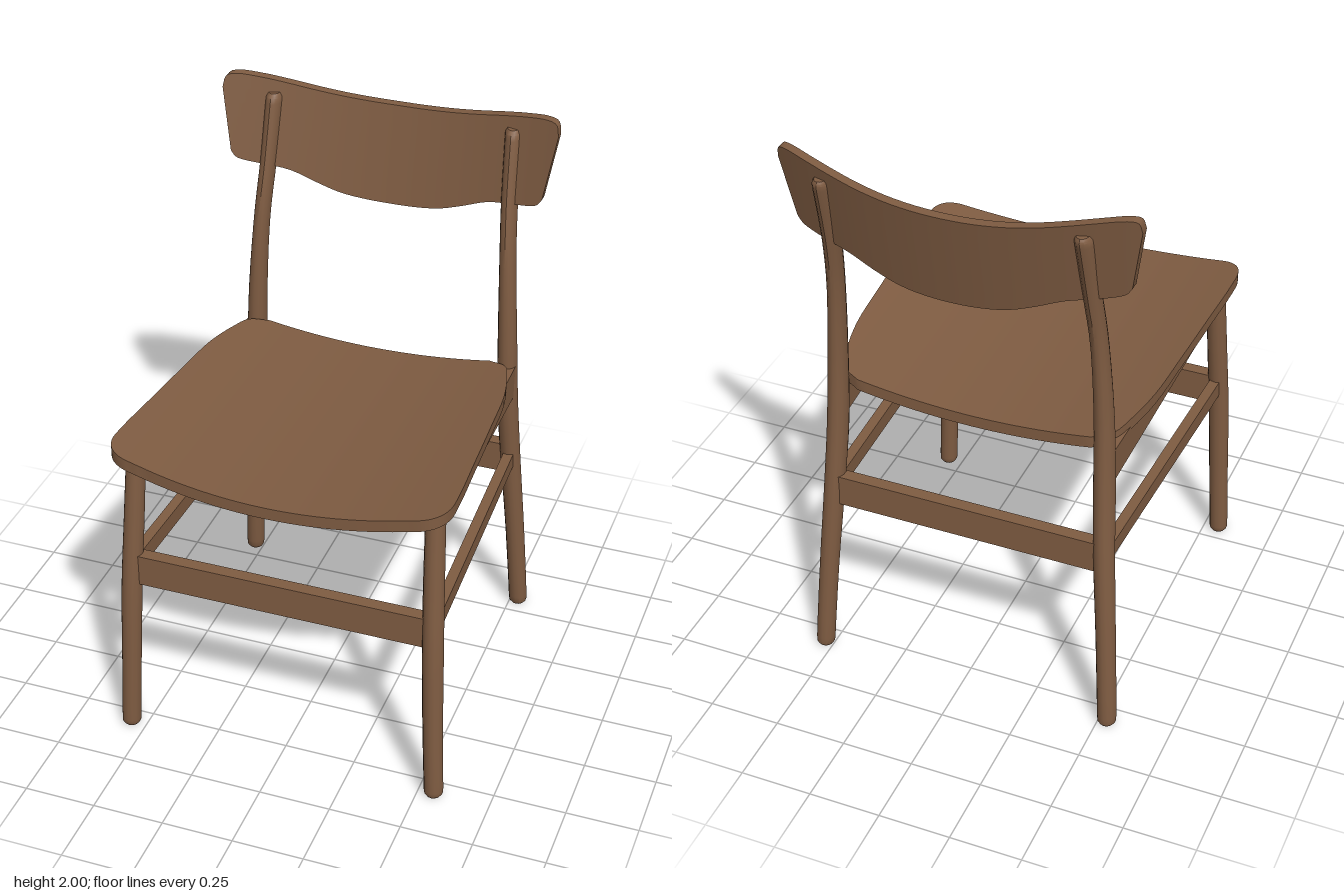
import * as THREE from 'three';
import { toCreasedNormals } from 'three/addons/utils/BufferGeometryUtils.js';

const wood = new THREE.MeshStandardMaterial({ color: 0x7f5c42 });
wood.name = 'brown wood';

const { lerp } = THREE.MathUtils;
const curve = (rows) => new THREE.CatmullRomCurve3(rows.map((r) => new THREE.Vector3(...r)));

function part(name, geometry, crease = 0.6) {
  const mesh = new THREE.Mesh(toCreasedNormals(geometry, crease), wood);
  mesh.name = name;
  return mesh;
}

// Closed curved panel: f(a, b, s) gives a point, s = 1 on the outer face, 0 on the inner
function slab(nu, nv, f) {
  const pos = [];
  const p = (i, j, s) => f(i / nu, j / nv, s);
  const quad = (a, b, c, d) => pos.push(...a, ...b, ...d, ...b, ...c, ...d);
  for (let i = 0; i < nu; i++) {
    for (let j = 0; j < nv; j++) {
      quad(p(i, j, 1), p(i + 1, j, 1), p(i + 1, j + 1, 1), p(i, j + 1, 1));
      quad(p(i, j, 0), p(i, j + 1, 0), p(i + 1, j + 1, 0), p(i + 1, j, 0));
    }
  }
  const edge = (i, j, k, l) => quad(p(i, j, 0), p(k, l, 0), p(k, l, 1), p(i, j, 1));
  for (let i = 0; i < nu; i++) {
    edge(i, 0, i + 1, 0);
    edge(i + 1, nv, i, nv);
  }
  for (let j = 0; j < nv; j++) {
    edge(nu, j, nu, j + 1);
    edge(0, j + 1, 0, j);
  }
  const g = new THREE.BufferGeometry();
  g.setAttribute('position', new THREE.Float32BufferAttribute(pos, 3));
  return g;
}

// Round leg following rows of [x, y, z, radius in x, radius in z]
function leg(rows, side) {
  const path = curve(rows.map(([x, y, z]) => [x * side, y, z]));
  const size = curve(rows.map((r) => [r[3], r[4], 0]));
  const g = new THREE.CylinderGeometry(1, 1, 1, 14, 32);
  const a = g.attributes.position;
  for (let i = 0; i < a.count; i++) {
    const t = THREE.MathUtils.clamp(a.getY(i) + 0.5, 0, 1);
    const c = path.getPoint(t), r = size.getPoint(t);
    a.setXYZ(i, c.x + a.getX(i) * r.x, c.y, c.z + a.getZ(i) * r.y);
  }
  return g;
}

// Side bar from back to front; each end is [x, bottom y, top y, z]
function sideBar(back, front, width, side) {
  const g = new THREE.BoxGeometry(width, 1, 1);
  const a = g.attributes.position;
  for (let i = 0; i < a.count; i++) {
    const t = a.getZ(i) + 0.5;
    const [x, y0, y1, z] = back.map((v, k) => lerp(v, front[k], t));
    a.setXYZ(i, a.getX(i) + x * side, lerp(y0, y1, a.getY(i) + 0.5), z);
  }
  return g;
}

export function createModel() {
  const chair = new THREE.Group();
  chair.name = 'chair';

  // Dished seat: rows of [z, half width] from front to back
  const seatRows = curve([
    [0.645, 0.45, 0], [0.633, 0.52, 0], [0.605, 0.557, 0], [0.56, 0.576, 0], [0.48, 0.578, 0],
    [0.25, 0.565, 0], [0, 0.55, 0], [-0.2, 0.535, 0], [-0.34, 0.505, 0], [-0.42, 0.475, 0], [-0.455, 0.41, 0],
  ]);
  chair.add(part('seat', slab(24, 40, (a, b, s) => {
    const u = a * 2 - 1, r = seatRows.getPoint(b);
    const x = u * r.y;
    const z = r.x - 0.03 * u * u * Math.max(0, r.x / 0.645);
    const y = 1.065 + 0.035 * (z + 0.45) + 0.065 * (x / 0.57) ** 2;
    return [x, y - (1 - s) * 0.042, z];
  })));

  // Curved backrest: columns of [position across, bottom y, top y]
  const half = [
    [0.17, 1.593, 1.932], [0.34, 1.606, 1.94], [0.5, 1.636, 1.954], [0.65, 1.67, 1.972],
    [0.8, 1.687, 1.99], [0.92, 1.7, 2.0], [0.975, 1.712, 1.992], [1, 1.735, 1.955],
  ];
  const columns = curve([
    ...half.map(([u, lo, hi]) => [-u, lo, hi]).reverse(), [0, 1.59, 1.93], ...half,
  ]);
  chair.add(part('backrest', slab(48, 6, (a, b, s) => {
    const c = columns.getPoint(a);
    const y = lerp(c.y, c.z, b);
    const x = c.x * lerp(0.55, 0.6, (y - 1.7) / 0.3);
    const z = -0.61 + 0.33 * x * x - 0.2 * (y - 1.76);
    return [x, y, z + (s - 0.5) * 0.034];
  })));

  for (const [side, word] of [[1, 'left'], [-1, 'right']]) {
    chair.add(part(word + 'FrontLeg', leg([
      [0.555, 0, 0.56, 0.024, 0.024], [0.555, 0.015, 0.56, 0.033, 0.033],
      [0.545, 0.25, 0.555, 0.034, 0.034], [0.532, 0.6, 0.54, 0.036, 0.036],
      [0.522, 0.85, 0.516, 0.035, 0.036], [0.513, 1.115, 0.488, 0.033, 0.034],
    ], side)));

    // Back leg rises through the backrest
    chair.add(part(word + 'BackLeg', leg([
      [0.53, 0, -0.567, 0.024, 0.024], [0.53, 0.015, -0.566, 0.033, 0.033],
      [0.51, 0.35, -0.542, 0.034, 0.036], [0.485, 0.7, -0.512, 0.036, 0.04],
      [0.472, 0.95, -0.487, 0.036, 0.044], [0.463, 1.2, -0.48, 0.033, 0.04],
      [0.447, 1.5, -0.495, 0.028, 0.038], [0.434, 1.7, -0.532, 0.028, 0.04],
      [0.426, 1.92, -0.583, 0.03, 0.045], [0.425, 1.938, -0.587, 0.022, 0.036],
    ], side)));

    chair.add(part(word + 'SeatRail', sideBar(
      [0.475, 0.962, 1.085, -0.47], [0.503, 1.035, 1.11, 0.48], 0.05, side)));
    chair.add(part(word + 'Stretcher', sideBar(
      [0.487, 0.655, 0.712, -0.5], [0.525, 0.65, 0.712, 0.52], 0.036, side)));
  }

  // Wide stretchers across front and back
  for (const [name, width, y, z] of [['frontStretcher', 1.04, 0.668, 0.53], ['backStretcher', 0.97, 0.68, -0.515]]) {
    const g = new THREE.BoxGeometry(width, 0.115, 0.045);
    g.translate(0, y, z);
    chair.add(part(name, g));
  }
  return chair;
}
